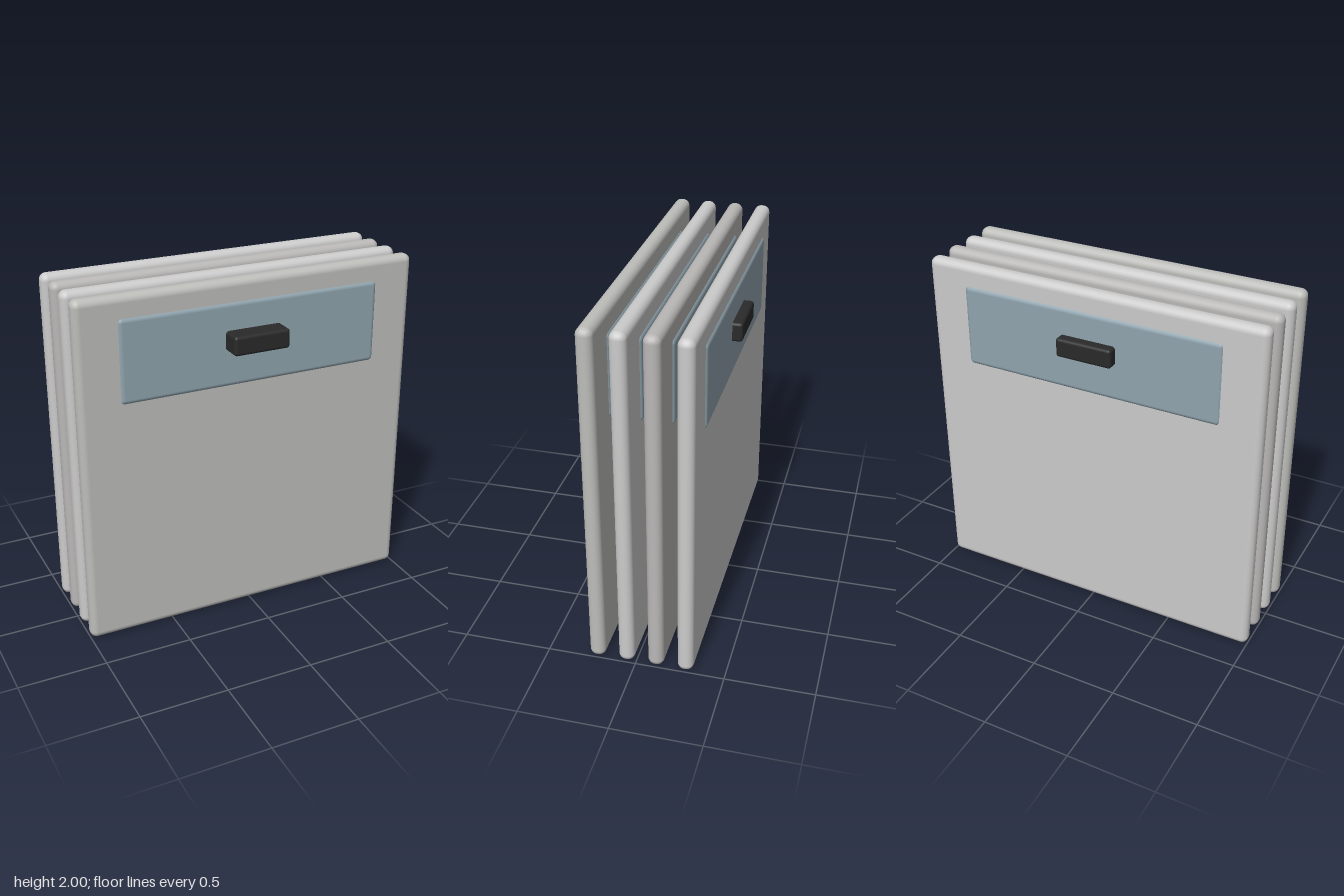
import * as THREE from 'three';
import { RoundedBoxGeometry } from 'three/addons/geometries/RoundedBoxGeometry.js';

// Rounded block centred on x = 0
function block(name, size, radius, color, y, z) {
  const mesh = new THREE.Mesh(
    new RoundedBoxGeometry(...size, 4, radius),
    new THREE.MeshStandardMaterial({ color })
  );
  mesh.name = name;
  mesh.position.set(0, y, z);
  return mesh;
}

export function createModel() {
  const model = new THREE.Group();
  model.name = 'hangingPanels';

  // Four parallel slabs, each with a tinted band showing on both faces
  const tints = [0xbdbdba, 0xdde1e1, 0xbab8b7, 0xdedee1];
  tints.forEach((tint, i) => {
    const panel = new THREE.Group();
    panel.name = `panel${i + 1}`;
    panel.position.z = 0.222 - i * 0.1667;
    panel.add(
      block('slab', [2, 2, 0.09], 0.04, tint, 1, 0),
      block('band', [1.54, 0.48, 0.11], 0.028, 0x90a4ae, 1.642, 0)
    );
    model.add(panel);
  });

  // Dark bar running through all the panels
  model.add(block('connectingBar', [0.33, 0.11, 0.78], 0.018, 0x2a2a2a, 1.67, 0));

  return model;
}
